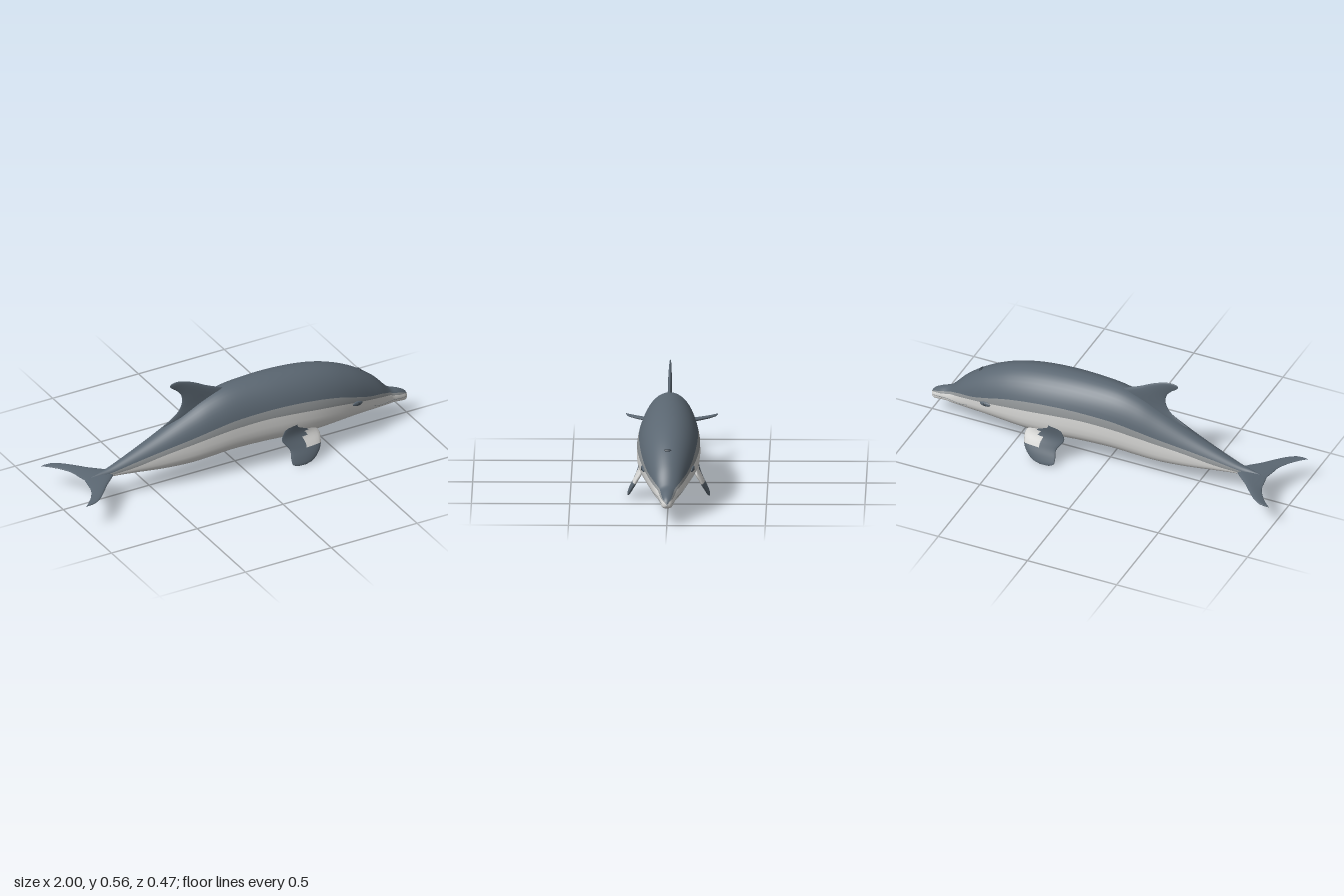
import * as THREE from 'three';

const flat = (name, color) => Object.assign(new THREE.MeshStandardMaterial({ color }), { name });
const V = (x, y, z) => new THREE.Vector3(x, y, z);

// Body stations: x, top, bottom, half width, top of belly colour, top of flank colour
const STATIONS = [
  [-0.84, 0.148, 0.140, 0.004, 0.143, 0.145],
  [-0.79, 0.160, 0.122, 0.016, 0.138, 0.145],
  [-0.72, 0.178, 0.128, 0.028, 0.145, 0.158],
  [-0.60, 0.225, 0.120, 0.050, 0.165, 0.190],
  [-0.45, 0.290, 0.106, 0.077, 0.203, 0.228],
  [-0.30, 0.365, 0.101, 0.102, 0.235, 0.265],
  [-0.18, 0.425, 0.110, 0.120, 0.260, 0.297],
  [-0.06, 0.460, 0.122, 0.135, 0.280, 0.323],
  [0.10, 0.470, 0.124, 0.150, 0.292, 0.336],
  [0.25, 0.467, 0.118, 0.160, 0.287, 0.336],
  [0.40, 0.452, 0.114, 0.160, 0.272, 0.322],
  [0.53, 0.424, 0.117, 0.147, 0.252, 0.295],
  [0.64, 0.382, 0.118, 0.127, 0.228, 0.258],
  [0.73, 0.332, 0.114, 0.105, 0.207, 0.226],
  [0.81, 0.270, 0.109, 0.082, 0.187, 0.205],
  [0.87, 0.205, 0.105, 0.060, 0.168, 0.180],
  [0.90, 0.180, 0.102, 0.047, 0.153, 0.164],
  [0.94, 0.165, 0.096, 0.038, 0.140, 0.150],
  [0.975, 0.148, 0.090, 0.029, 0.132, 0.137],
  [0.992, 0.133, 0.094, 0.019, 0.125, 0.128],
  [1.0, 0.118, 0.108, 0.004, 0.114, 0.116],
];
const outline = new THREE.CatmullRomCurve3(STATIONS.map((s) => V(s[0], s[1], s[2])), false, 'catmullrom', 0.5);
const bands = new THREE.CatmullRomCurve3(STATIONS.map((s) => V(s[3], s[4], s[5])), false, 'catmullrom', 0.5);

// Cross-section at t: rounded back, squarer belly
function section(t) {
  const o = outline.getPoint(t), b = bands.getPoint(t);
  const mid = o.z + (o.y - o.z) * 0.4;
  const power = (a) => (a > 0 ? 2 : 2.9);
  const radius = (a) => (a > 0 ? o.y - mid : mid - o.z);
  return {
    angle(y) {
      const d = y - mid, k = Math.min(1, Math.abs(d) / radius(d));
      return Math.sign(d) * Math.asin(Math.pow(k, power(d) / 2));
    },
    point(a, side = 1) {
      const e = 2 / power(a);
      return V(o.x, mid + Math.sign(a) * radius(a) * Math.pow(Math.abs(Math.sin(a)), e),
        side * Math.max(b.x, 0.002) * Math.pow(Math.max(0, Math.cos(a)), e));
    },
    flank: b.y, back: b.z,
  };
}

// Parameter of the body curve at a given x
function at(x) {
  let lo = 0, hi = 1;
  for (let i = 0; i < 30; i++) {
    const m = (lo + hi) / 2;
    if (outline.getPoint(m).x < x) lo = m; else hi = m;
  }
  return section(lo);
}

// Skin over equal rings of points; paint(i, j) picks the material of each quad
function skin(rings, paint, materials, flip = false) {
  const n = rings[0].length, lists = materials.map(() => []);
  for (let i = 0; i + 1 < rings.length; i++) {
    for (let j = 0; j < n; j++) {
      const a = i * n + j, b = i * n + (j + 1) % n, c = a + n, d = b + n;
      lists[paint(i, j)].push(...(flip ? [a, b, c, b, d, c] : [a, c, b, b, c, d]));
    }
  }
  const geo = new THREE.BufferGeometry().setFromPoints(rings.flat());
  geo.setIndex(lists.flat());
  let start = 0;
  lists.forEach((list, m) => { geo.addGroup(start, list.length, m); start += list.length; });
  geo.computeVertexNormals();
  return new THREE.Mesh(geo, materials);
}

function makeBody(materials) {
  const LOW = 9, MID = 3, HIGH = 9, HALF = LOW + MID + HIGH, LENGTH = 120;
  const rings = [];
  for (let i = 0; i <= LENGTH; i++) {
    const s = section(i / LENGTH), a1 = s.angle(s.flank), a2 = s.angle(s.back), H = Math.PI / 2;
    const angles = [];
    for (let j = 0; j < LOW; j++) angles.push(-H + (a1 + H) * j / LOW);
    for (let j = 0; j < MID; j++) angles.push(a1 + (a2 - a1) * j / MID);
    for (let j = 0; j <= HIGH; j++) angles.push(a2 + (H - a2) * j / HIGH);
    const left = angles.map((a) => s.point(a));
    const right = angles.slice(1, -1).reverse().map((a) => s.point(a, -1));
    rings.push([...left, ...right]);
  }
  return skin(rings, (i, j) => {
    const k = j < HALF ? j : 2 * HALF - 1 - j;
    return k < LOW ? 0 : k < LOW + MID ? 1 : 2;
  }, materials);
}

// Fin lofted from [leading point, trailing point, half thickness] sections
function makeFin(sections, normal, materials, paint = () => 0) {
  const N = 20, STEPS = 24;
  const lead = new THREE.CatmullRomCurve3(sections.map((s) => s[0]), false, 'catmullrom', 0.5);
  const trail = new THREE.CatmullRomCurve3(sections.map((s) => s[1]), false, 'catmullrom', 0.5);
  const thick = new THREE.CatmullRomCurve3(sections.map((s) => V(s[2], 0, 0)), false, 'catmullrom', 0.5);
  const rings = [];
  for (let i = 0; i <= STEPS; i++) {
    const t = i / STEPS, a = lead.getPoint(t), b = trail.getPoint(t), h = thick.getPoint(t).x;
    rings.push(Array.from({ length: N }, (_, j) => {
      const w = j / N * Math.PI * 2, c = Math.cos(w);
      return b.clone().lerp(a, 0.5 + c / 2).addScaledVector(normal, h * Math.sin(w) * (0.8 + 0.3 * c));
    }));
  }
  // Close the tip
  const tip = lead.getPoint(1).lerp(trail.getPoint(1), 0.5);
  rings.push(Array.from({ length: N }, () => tip.clone()));
  const chord = sections[0][0].clone().sub(sections[0][1]);
  const span = tip.clone().sub(sections[0][0].clone().lerp(sections[0][1], 0.5));
  const flip = chord.cross(normal).dot(span) > 0;
  return skin(rings, (i, j) => paint(rings[i][j]), materials, flip);
}

export function createModel() {
  const group = new THREE.Group();
  const back = flat('slate back', 0x5b6772);
  const flank = flat('grey flank', 0x919597);
  const belly = flat('pale belly', 0xdadad8);
  const dark = flat('dark detail', 0x3c464f);
  const add = (name, mesh) => { mesh.name = name; group.add(mesh); return mesh; };

  add('body', makeBody([belly, flank, back]));

  // Swept dorsal fin
  add('dorsalFin', makeFin([
    [V(-0.04, 0.445, 0), V(-0.44, 0.315, 0), 0.014],
    [V(-0.10, 0.470, 0), V(-0.345, 0.375, 0), 0.013],
    [V(-0.17, 0.500, 0), V(-0.310, 0.430, 0), 0.012],
    [V(-0.23, 0.532, 0), V(-0.313, 0.480, 0), 0.010],
    [V(-0.29, 0.556, 0), V(-0.340, 0.514, 0), 0.007],
    [V(-0.34, 0.566, 0), V(-0.368, 0.535, 0), 0.005],
    [V(-0.372, 0.560, 0), V(-0.378, 0.548, 0), 0.002],
  ], V(0, 0, 1), [back]));

  for (const s of [1, -1]) {
    const side = s > 0 ? 'right' : 'left';

    // Tail fluke: z, leading x, trailing x, half thickness
    add(side + 'Fluke', makeFin([
      [0, -0.70, -0.875, 0.014], [0.05, -0.745, -0.885, 0.012], [0.10, -0.80, -0.895, 0.010],
      [0.155, -0.85, -0.925, 0.009], [0.20, -0.895, -0.962, 0.007],
      [0.226, -0.935, -0.990, 0.005], [0.233, -0.970, -0.999, 0.002],
    ].map(([z, a, b, h]) => [V(a, 0.143, s * z), V(b, 0.140, s * z), h]), V(0, 1, 0), [back]));

    // Flipper with its shoulder patch and pale leading root
    add(side + 'Flipper', makeFin([
      [V(0.29, 0.220, s * 0.152), V(0.21, 0.205, s * 0.152), 0.010],
      [V(0.40, 0.155, s * 0.138), V(0.19, 0.145, s * 0.150), 0.015],
      [V(0.408, 0.100, s * 0.165), V(0.225, 0.090, s * 0.170), 0.014],
      [V(0.387, 0.055, s * 0.188), V(0.222, 0.048, s * 0.190), 0.012],
      [V(0.345, 0.018, s * 0.203), V(0.225, 0.020, s * 0.203), 0.008],
      [V(0.300, 0.005, s * 0.208), V(0.250, 0.007, s * 0.208), 0.003],
    ], V(0, 0.42, s * 0.9), [back, belly], (p) => (p.x > 0.335 && p.y > 0.09 ? 1 : 0)));

    // Eye, seated in the skin, with a soft lid patch
    const head = at(0.645);
    const lid = add(side + 'EyePatch', new THREE.Mesh(new THREE.SphereGeometry(1, 20, 12), back));
    lid.scale.set(0.034, 0.013, 0.008);
    lid.position.copy(head.point(head.angle(0.221), s));
    lid.rotation.set(0, s * 0.22, -0.15);
    const eye = add(side + 'Eye', new THREE.Mesh(new THREE.SphereGeometry(0.011, 16, 12), dark));
    eye.position.copy(lid.position);

    // Mouth crease
    const lips = [[0.76, 0.160], [0.80, 0.146], [0.85, 0.140], [0.90, 0.130], [0.95, 0.120], [0.985, 0.114]]
      .map(([x, y]) => { const c = at(x); return c.point(c.angle(y), s); });
    add(side + 'Mouth', new THREE.Mesh(
      new THREE.TubeGeometry(new THREE.CatmullRomCurve3(lips), 30, 0.0022, 6), flank));
  }

  // Blowhole on the crown
  const blowhole = add('blowhole', new THREE.Mesh(new THREE.SphereGeometry(1, 20, 12), dark));
  blowhole.scale.set(0.009, 0.005, 0.019);
  blowhole.position.copy(at(0.725).point(Math.PI / 2));
  blowhole.rotation.z = -0.55;

  return group;
}
